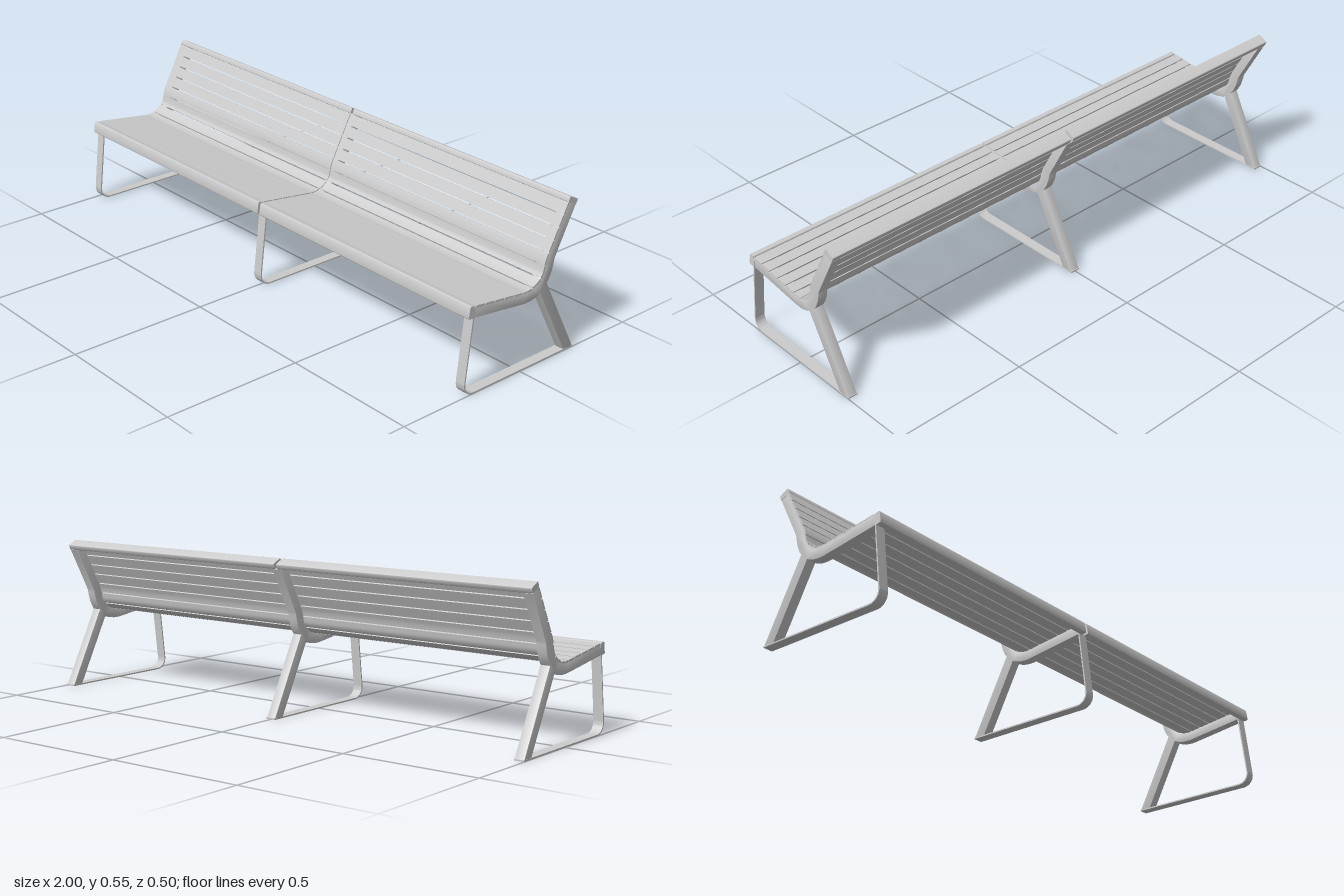
import * as THREE from 'three';
import { toCreasedNormals } from 'three/addons/utils/BufferGeometryUtils.js';

const material = new THREE.MeshStandardMaterial({ color: 0xcccccc });
const FRAME_W = 0.036;

// Extrude a side profile, drawn as (z, y), centred across x.
function sideExtrude(name, shape, width, x, bevel = 0) {
  const depth = width - 2 * bevel;
  const geo = new THREE.ExtrudeGeometry(shape, {
    depth, curveSegments: 8, bevelEnabled: bevel > 0,
    bevelThickness: bevel, bevelSize: bevel, bevelOffset: -bevel, bevelSegments: 2,
  });
  geo.translate(0, 0, -depth / 2);
  geo.rotateY(-Math.PI / 2);
  const mesh = new THREE.Mesh(toCreasedNormals(geo, 0.6), material);
  mesh.name = name;
  mesh.position.x = x;
  return mesh;
}

// Closed strip lying between two offsets from a line of points.
function strip(points, a, b) {
  const side = (d) => points.map((p, i) => {
    const q = points[Math.max(i - 1, 0)], r = points[Math.min(i + 1, points.length - 1)];
    const t = r.clone().sub(q).normalize();
    return new THREE.Vector2(p.x + t.y * d, p.y - t.x * d);
  });
  return new THREE.Shape([...side(a), ...side(b).reverse()]);
}

// Line of the sitting surface, from the front edge to the top of the back.
function seatLine() {
  const v = (z, y) => new THREE.Vector2(z, y);
  const path = new THREE.CurvePath();
  path.add(new THREE.LineCurve(v(0.214, 0.304), v(0.0, 0.276)));
  path.add(new THREE.CubicBezierCurve(v(0.0, 0.276), v(-0.04, 0.272), v(-0.072, 0.294), v(-0.084, 0.318)));
  path.add(new THREE.CubicBezierCurve(v(-0.084, 0.318), v(-0.088, 0.335), v(-0.09, 0.352), v(-0.099, 0.37)));
  path.add(new THREE.LineCurve(v(-0.099, 0.37), v(-0.183, 0.529)));
  return path;
}

// Y-shaped side frame: seat arm, back arm and rear leg in one outline.
function frameShape() {
  const s = new THREE.Shape();
  s.moveTo(0.215, 0.303);
  s.lineTo(0.0, 0.275);
  s.bezierCurveTo(-0.04, 0.271, -0.073, 0.293, -0.085, 0.318);
  s.bezierCurveTo(-0.089, 0.335, -0.091, 0.352, -0.1, 0.37);
  s.lineTo(-0.184, 0.529);
  s.lineTo(-0.217, 0.511);
  s.lineTo(-0.135, 0.355);
  s.bezierCurveTo(-0.13, 0.335, -0.128, 0.305, -0.105, 0.276);
  s.lineTo(-0.248, 0.004);
  s.lineTo(-0.205, 0.004);
  s.lineTo(-0.075, 0.25);
  s.bezierCurveTo(-0.055, 0.238, -0.03, 0.233, 0.005, 0.237);
  s.lineTo(0.22, 0.265);
  s.closePath();
  return s;
}

// Flat bar that forms the front leg and the ground runner.
function runnerShape() {
  const pts = [new THREE.Vector2(0.2165, 0.3), new THREE.Vector2(0.2465, 0.05)];
  const bend = new THREE.CubicBezierCurve(
    new THREE.Vector2(0.247, 0.044), new THREE.Vector2(0.249, 0.021),
    new THREE.Vector2(0.232, 0.0025), new THREE.Vector2(0.207, 0.0025));
  pts.push(...bend.getPoints(10), new THREE.Vector2(-0.25, 0.0025));
  return strip(pts, -0.0025, 0.0025);
}

// Quadrilateral with slightly rounded corners.
function roundedQuad(corners, r) {
  const s = new THREE.Shape();
  corners.forEach((c, i) => {
    const p = new THREE.Vector2(...c);
    const before = new THREE.Vector2(...corners[(i + 3) % 4]).sub(p).setLength(r).add(p);
    const after = new THREE.Vector2(...corners[(i + 1) % 4]).sub(p).setLength(r).add(p);
    if (i === 0) s.moveTo(before.x, before.y); else s.lineTo(before.x, before.y);
    s.quadraticCurveTo(p.x, p.y, after.x, after.y);
  });
  s.closePath();
  return s;
}

export function createModel() {
  const bench = new THREE.Group();
  bench.name = 'bench';

  // Three supports: both ends and the middle
  for (const x of [-1 + FRAME_W / 2, 0, 1 - FRAME_W / 2]) {
    const support = new THREE.Group();
    support.name = 'support';
    support.add(sideExtrude('sideFrame', frameShape(), FRAME_W, x, 0.003));
    support.add(sideExtrude('frontLegAndRunner', runnerShape(), FRAME_W, x));
    bench.add(support);
  }

  // Two bays of slats following the seat line, with a front and a top rail
  const line = seatLine();
  const COUNT = 13, GAP = 0.0045, total = line.getLength();
  const front = [[0.236, 0.309], [0.218, 0.306], [0.222, 0.265], [0.243, 0.268]];
  const top = [[-0.189, 0.547], [-0.225, 0.529], [-0.217, 0.511], [-0.181, 0.529]];
  const bayWidth = 0.995;
  for (const side of [-1, 1]) {
    const x = side * (1 - bayWidth / 2);
    const bay = new THREE.Group();
    bay.name = side > 0 ? 'leftBay' : 'rightBay';
    for (let i = 0; i < COUNT; i++) {
      const u0 = i / COUNT + GAP / 2 / total, u1 = (i + 1) / COUNT - GAP / 2 / total;
      const pts = [];
      for (let k = 0; k <= 6; k++) pts.push(line.getPointAt(u0 + (u1 - u0) * k / 6));
      bay.add(sideExtrude(i < 7 ? 'seatSlat' : 'backSlat', strip(pts, -0.006, 0.002), bayWidth, x));
    }
    bay.add(sideExtrude('frontRail', roundedQuad(front, 0.004), bayWidth, x));
    bay.add(sideExtrude('topRail', roundedQuad(top, 0.003), bayWidth, x));
    bench.add(bay);
  }
  return bench;
}
